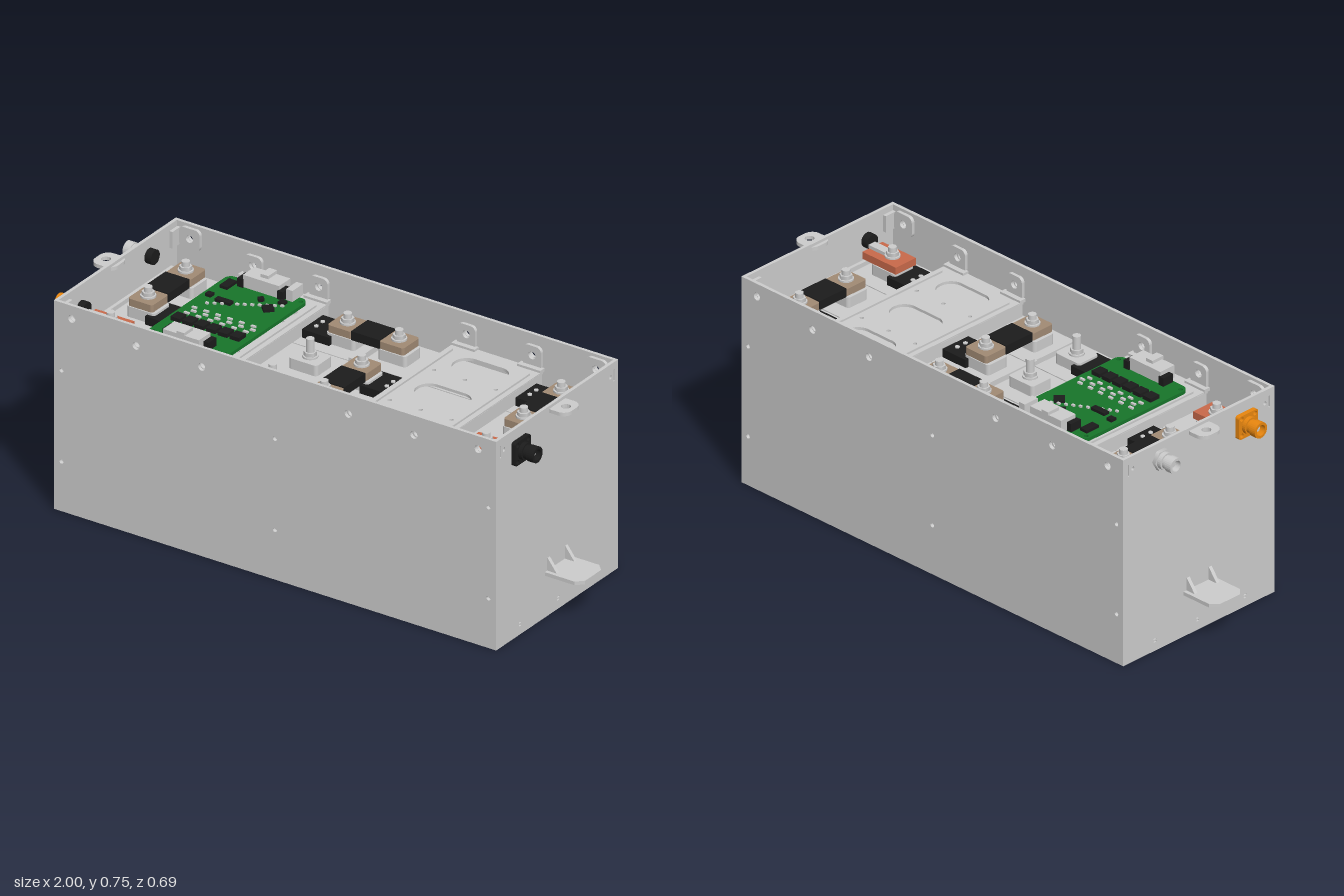
import * as THREE from 'three';

const mat = (color) => new THREE.MeshStandardMaterial({ color });

export function createModel() {
  const root = new THREE.Group();
  const grey = mat(0xcccccc), black = mat(0x1c1c1c), orange = mat(0xe8860f);
  const green = mat(0x17752a), copper = mat(0xc8694a), tan = mat(0xa18a74), white = mat(0xe6e6e6);
  const H = 0.755, HX = 0.86, HZ = 0.345, T = 0.012;

  const add = (name, geo, m, x = 0, y = 0, z = 0, parent = root) => {
    const mesh = new THREE.Mesh(geo, m);
    mesh.name = name;
    mesh.position.set(x, y, z);
    parent.add(mesh);
    return mesh;
  };
  const box = (name, w, h, d, m, x, y, z, parent) => add(name, new THREE.BoxGeometry(w, h, d), m, x, y, z, parent);
  const cyl = (name, r, h, m, x, y, z, sides = 20, parent = root) =>
    add(name, new THREE.CylinderGeometry(r, r, h, sides), m, x, y, z, parent);

  // Rounded outline; a hole is [x, y, radius] or [x, y, width, height] with rounded ends
  const outline = (P, w, h, r, x = 0, y = 0) => {
    const p = new P(), a = w / 2 - r, b = h / 2 - r;
    if (r === 0) {
      p.moveTo(x - a, y - b); p.lineTo(x + a, y - b); p.lineTo(x + a, y + b); p.lineTo(x - a, y + b);
    } else {
      p.absarc(x + a, y + b, r, 0, Math.PI / 2);
      p.absarc(x - a, y + b, r, Math.PI / 2, Math.PI);
      p.absarc(x - a, y - b, r, Math.PI, Math.PI * 1.5);
      p.absarc(x + a, y - b, r, Math.PI * 1.5, Math.PI * 2);
    }
    p.closePath();
    return p;
  };
  const extrude = (shape, t, holes = []) => {
    for (const [x, y, a, b] of holes) {
      if (b === undefined) {
        const p = new THREE.Path();
        p.absarc(x, y, a, 0, Math.PI * 2, true);
        shape.holes.push(p);
      } else shape.holes.push(outline(THREE.Path, a, b, Math.min(a, b) * 0.48, x, y));
    }
    return new THREE.ExtrudeGeometry(shape, { depth: t, bevelEnabled: false, curveSegments: 8 }).translate(0, 0, -t / 2);
  };
  const panel = (w, h, r, t, holes) => extrude(outline(THREE.Shape, w, h, r), t, holes);

  // Case: floor, long walls and end walls with their holes
  box('caseFloor', 2 * HX, T, 2 * HZ, grey, 0, T / 2, 0);
  const longHoles = [[0, 0.51, 0.008], [0, 0.18, 0.008]];
  for (const s of [-1, 1]) {
    for (const [x, y, r] of [[0.79, 0.708, 0.014], [0.54, 0.685, 0.014], [0.285, 0.685, 0.014],
      [0.83, 0.51, 0.008], [0.83, 0.18, 0.008]]) longHoles.push([s * x, y, r]);
  }
  for (const s of [-1, 1]) {
    add('longWall', panel(2 * HX, H - T, 0, T, longHoles.map(([x, y, r]) => [x, y - (H + T) / 2, r])),
      grey, 0, (H + T) / 2, s * (HZ - T / 2));
    const slots = [];
    for (const z of [-0.21, 0.006, 0.2]) slots.push([z, 0.033, 0.012, 0.005], [z, 0.043, 0.012, 0.005]);
    for (const k of [-1, 1]) slots.push([k * 0.321, 0.708, 0.006, 0.044], [k * 0.301, 0.708, 0.013, 0.014]);
    add('endWall', panel(2 * (HZ - T), H - T, 0, T, slots.map(([u, y, w, h]) => [u, y - (H + T) / 2, w, h]))
      .rotateY(Math.PI / 2), grey, s * (HX - T / 2), (H + T) / 2, 0);
  }

  // End fittings: upper eye tab, lower mounting foot with gussets
  for (const s of [-1, 1]) {
    const end = new THREE.Group();
    end.name = 'endFittings';
    end.rotation.y = s > 0 ? 0 : Math.PI;
    root.add(end);
    add('eyeTab', panel(0.09, 0.092, 0.032, 0.013, [[0.012, 0, 0.016]]).rotateX(-Math.PI / 2), grey, 0.882, 0.738, 0, end);
    const foot = new THREE.Shape();
    [[0.84, -0.07], [0.975, -0.07], [1, -0.045], [1, 0.045], [0.975, 0.07], [0.84, 0.07]]
      .forEach(([x, y], i) => (i ? foot.lineTo(x, y) : foot.moveTo(x, y)));
    add('mountingFoot', extrude(foot, 0.013).rotateX(-Math.PI / 2), grey, 0, 0.158, 0, end);
    for (const k of [-1, 1]) {
      const tri = new THREE.Shape();
      tri.moveTo(0.855, 0.16); tri.lineTo(0.9, 0.16); tri.lineTo(0.862, 0.21); tri.lineTo(0.855, 0.21);
      add('gusset', extrude(tri, 0.013), grey, 0, 0, k * 0.05, end);
    }
  }

  // Panel connectors: flange, hollow barrel and centre pin, pointing outward
  const connector = (name, s, y, z, m, square) => {
    const g = new THREE.Group();
    g.name = name;
    g.position.set(s * HX, y, z);
    g.rotation.y = s > 0 ? 0 : Math.PI;
    root.add(g);
    if (square) {
      const c = 0.03;
      add('flange', panel(0.088, 0.085, 0.01, 0.016, [[c, c, 0.008], [-c, c, 0.008], [c, -c, 0.008], [-c, -c, 0.008]])
        .rotateY(Math.PI / 2), m, 0.008, 0, 0, g);
    } else {
      add('nut', new THREE.CylinderGeometry(0.038, 0.038, 0.014, 6).rotateZ(Math.PI / 2), m, 0.007, 0, 0, g);
    }
    const profile = [[0.03, 0], [0.03, 0.03], [0.024, 0.03], [0.024, 0.045], [0.028, 0.045], [0.028, 0.072],
      [0.019, 0.072], [0.019, 0.02], [0, 0.02]].map(([r, h]) => new THREE.Vector2(r, h));
    const barrel = new THREE.LatheGeometry(profile, 28).toNonIndexed();
    barrel.computeVertexNormals();
    const bm = m.clone();
    bm.side = THREE.DoubleSide;
    add('barrel', barrel.rotateZ(-Math.PI / 2), bm, 0, 0, 0, g);
    add('pin', new THREE.CylinderGeometry(0.01, 0.01, 0.045, 16).rotateZ(Math.PI / 2), grey, 0.035, 0, 0, g);
    add('innerBody', new THREE.CylinderGeometry(0.026, 0.026, 0.03, 20).rotateZ(Math.PI / 2), black, -0.022, 0, 0, g);
    return g;
  };
  connector('blackConnector', 1, 0.673, 0.215, black, true);
  connector('orangeConnector', -1, 0.673, 0.21, orange, true);
  connector('signalConnector', -1, 0.695, -0.175, grey, false);

  // Six cells in two rows of three, with a divider
  const CELL = 0.59, rows = [-0.212, 0, 0.212];
  for (const s of [-1, 1]) for (const z of rows) box('cell', 0.82, CELL - T, 0.208, grey, s * 0.424, (CELL + T) / 2, z);
  box('divider', 0.01, 0.6, 0.64, grey, 0, 0.302, 0);
  for (const z of [-0.106, 0.106]) box('dividerClip', 0.035, 0.012, 0.02, grey, 0, 0.602, z);

  // Terminals: block, threaded stud and nut
  for (const x of [-0.73, -0.1, 0.1, 0.73]) for (const z of rows) {
    add('terminalBlock', panel(0.11, 0.09, 0.012, 0.038).rotateX(-Math.PI / 2), grey, x, CELL + 0.019, z);
    cyl('terminalStud', 0.014, 0.1, grey, x, 0.645, z);
    cyl('terminalWasher', 0.026, 0.006, grey, x, x === -0.1 && z >= 0 ? 0.631 : 0.662, z);
    cyl('terminalNut', 0.022, 0.014, grey, x, x === -0.1 && z >= 0 ? 0.641 : 0.671, z, 6);
  }

  // Busbars: two tan pads joined by a black insulated strip
  const busbar = (x1, z1, x2, z2) => {
    for (const [x, z] of [[x1, z1], [x2, z2]])
      add('busbarPad', panel(0.096, 0.094, 0.01, 0.026).rotateX(-Math.PI / 2), tan, x, 0.645, z);
    const alongX = z1 === z2;
    box('busbarSleeve', alongX ? 0.11 : 0.094, 0.032, alongX ? 0.094 : 0.12, black, (x1 + x2) / 2, 0.646, (z1 + z2) / 2);
  };
  busbar(-0.73, rows[0], -0.73, 0);
  busbar(0.73, rows[0], 0.73, 0);
  busbar(-0.1, rows[0], 0.1, rows[0]);
  busbar(0.1, 0, 0.1, rows[2]);

  // Copper output plates with tongues to the connectors
  for (const s of [-1, 1]) {
    box('outputPlate', 0.15, 0.026, 0.092, copper, s * 0.745, 0.645, rows[2]);
    box('outputTongue', 0.1, 0.012, 0.03, grey, s * 0.8, 0.664, rows[2]);
  }

  // Black sensor pads beside the terminals
  for (const [x, z, s] of [[-0.65, 0, 1], [-0.185, rows[0], -1], [-0.185, rows[2], -1],
    [0.185, 0, 1], [0.645, rows[0], -1], [0.645, rows[2], -1]]) {
    box('sensorPad', 0.105, 0.03, 0.118, black, x, CELL + 0.015, z);
    for (const k of [-1, 1]) cyl('sensorScrew', 0.008, 0.004, white, x + s * 0.025, CELL + 0.032, z + k * 0.018, 10);
  }

  // Clamp plates over the cells: slots, turned-down sides, ears bolted to the walls
  for (const s of [-1, 1]) {
    const cx = s * 0.415, holes = [];
    for (const z of rows) holes.push([0, z, 0.2, 0.098]);
    for (const z of [-0.125, 0.125]) holes.push([0, z, 0.007], [-0.12, z, 0.007], [0.12, z, 0.007]);
    add('clampPlate', panel(0.345, 0.64, 0.006, 0.01, holes).rotateX(-Math.PI / 2), grey, cx, 0.638, 0);
    for (const k of [-1, 1]) {
      box('clampSide', 0.01, 0.05, 0.62, grey, cx + k * 0.168, 0.614, 0);
      box('clampRib', 0.008, 0.01, 0.54, grey, cx + k * 0.15, 0.645, 0);
      for (const e of [-1, 1]) {
        add('clampEar', panel(0.07, 0.085, 0.018, 0.012, [[0, 0.008, 0.014]]), grey, cx + k * 0.128, 0.678, e * 0.324);
        box('clampFlange', 0.09, 0.012, 0.025, grey, cx + k * 0.128, 0.645, e * 0.312);
      }
    }
    // Corner ears and inner end rails
    for (const e of [-1, 1]) {
      add('cornerEar', panel(0.08, 0.075, 0.018, 0.012, [[0, 0, 0.014]]), grey, s * 0.79, 0.708, e * 0.326);
      box('cornerFlange', 0.012, 0.06, 0.045, grey, s * 0.836, 0.708, e * 0.305);
    }
    box('endRail', 0.012, 0.04, 0.6, grey, s * 0.841, 0.585, 0);
  }

  // Circuit board with connectors and chips
  const board = new THREE.Group();
  board.name = 'circuitBoard';
  board.position.set(-0.425, 0.672, 0);
  root.add(board);
  const top = 0.006;
  add('boardPlate', panel(0.31, 0.475, 0.025, 0.012, [[-0.14, -0.215, 0.008], [0.14, -0.215, 0.008],
    [-0.14, 0.215, 0.008], [0.14, 0.215, 0.008]]).rotateX(-Math.PI / 2), green, 0, 0, 0, board);
  for (const sx of [-1, 1]) for (const sz of [-1, 1]) cyl('standoff', 0.013, 0.03, grey, sx * 0.125, -0.018, sz * 0.195, 12, board);
  for (const s of [-1, 1]) {
    box('boardConnector', 0.14, 0.045, 0.065, grey, 0, top + 0.022, s * 0.226, board);
    box('connectorKey', 0.03, 0.012, 0.05, grey, 0, top + 0.05, s * 0.238, board);
    for (const k of [-1, 1]) box('connectorLatch', 0.022, 0.03, 0.045, black, k * 0.078, top + 0.015, s * 0.21, board);
  }
  box('smallConnector', 0.025, 0.04, 0.06, grey, 0.107, top + 0.02, -0.228, board);
  for (let i = 0; i < 6; i++) {
    const x = -0.115 + i * 0.046;
    box('powerChip', 0.036, 0.014, 0.04, black, x, top + 0.007, 0.105, board);
    for (let j = 0; j < 3; j++) box('resistor', 0.018, 0.006, 0.009, white, x + (j % 2) * 0.012, top + 0.003, 0.015 + j * 0.022, board);
  }
  for (const [x, z, w, d, a] of [[-0.115, -0.175, 0.03, 0.055, 0], [0.085, -0.11, 0.036, 0.036, 0.8],
    [-0.06, -0.072, 0.06, 0.022, 0], [-0.125, -0.085, 0.022, 0.022, 0], [0.1, -0.17, 0.022, 0.022, 0],
    [0.03, -0.15, 0.02, 0.02, 0.8]]) box('chip', w, 0.01, d, black, x, top + 0.005, z, board).rotation.y = a;
  for (let i = 0; i < 12; i++)
    box('capacitor', 0.011, 0.007, 0.008, white, -0.12 + ((i * 5) % 12) * 0.021, top + 0.003, -0.165 + ((i * 7) % 12) * 0.012, board);

  return root;
}
